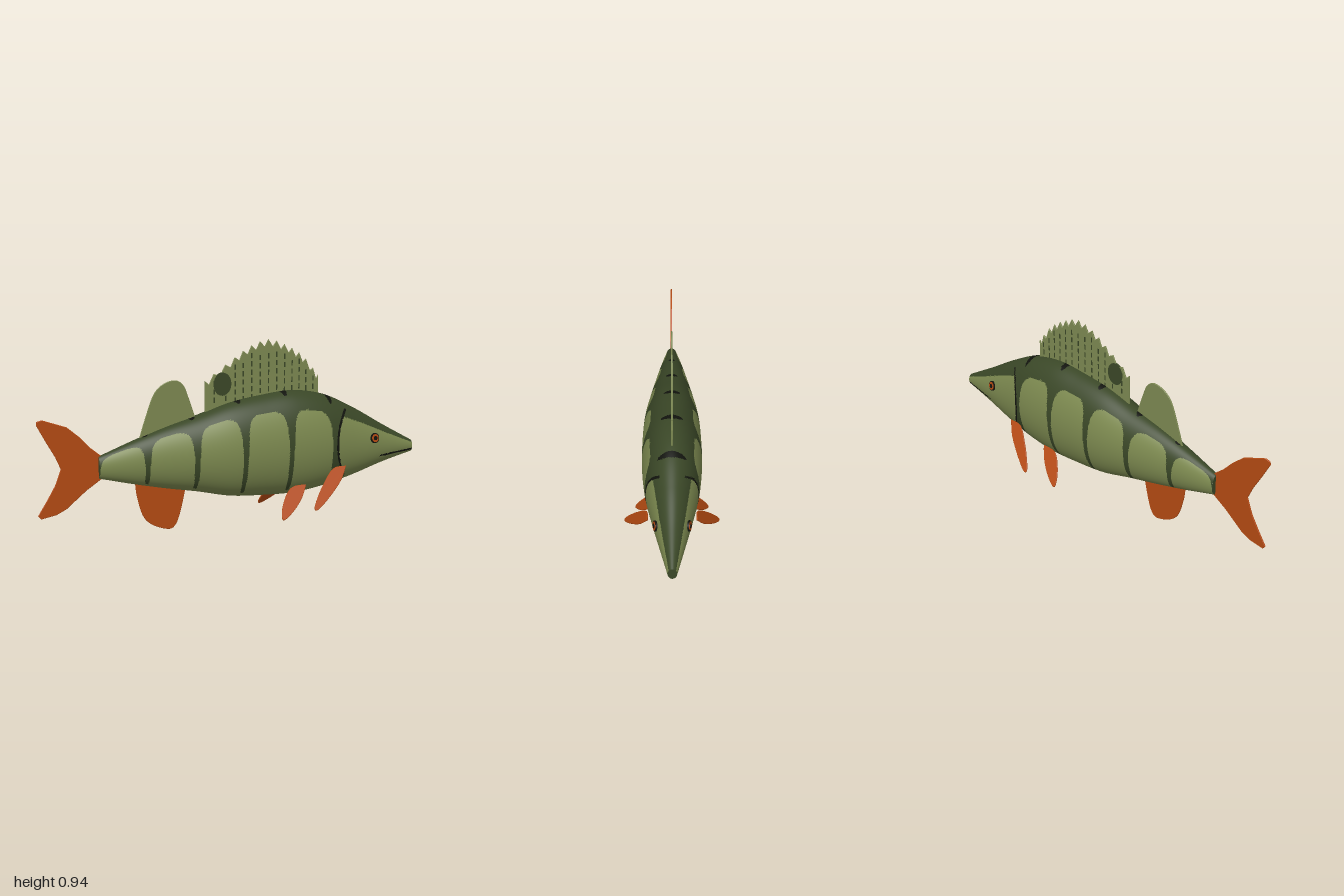
import * as THREE from 'three';

const mat = (name, color, side = THREE.FrontSide) => {
  const m = new THREE.MeshStandardMaterial({ color, side });
  m.name = name;
  return m;
};

export function createModel() {
  const fish = new THREE.Group();
  const flank = mat('flankGreen', 0x7d8a50);
  const back = mat('backGreen', 0x3a4727);
  const black = mat('black', 0x12140e);
  const orange = mat('finOrange', 0xb44a12);
  const membrane = mat('finOlive', 0x7c8851);

  const add = (name, geo, material, parent = fish) => {
    const m = new THREE.Mesh(geo, material);
    m.name = name;
    parent.add(m);
    return m;
  };

  // Body outline: evenly spaced stations from tail root to snout
  const X0 = -0.695, X1 = 0.995;
  const curve = ys => new THREE.SplineCurve(
    ys.map((y, i) => new THREE.Vector2(X0 + (X1 - X0) * i / (ys.length - 1), y)));
  const top = curve([0.40, 0.465, 0.525, 0.575, 0.63, 0.66, 0.675, 0.645, 0.565, 0.465, 0.37]);
  const bottom = curve([0.29, 0.25, 0.215, 0.185, 0.15, 0.14, 0.14, 0.165, 0.21, 0.265, 0.31]);
  const width = curve([0.03, 0.062, 0.09, 0.118, 0.14, 0.147, 0.147, 0.133, 0.10, 0.062, 0.022]);
  const section = t => {
    const a = top.getPoint(t), b = bottom.getPoint(t);
    return { x: a.x, yc: (a.y + b.y) / 2, h: (a.y - b.y) / 2, w: width.getPoint(t).y };
  };

  // Paint rule: s is height within the section (-1 belly, 1 back)
  // returns 0 flank, 1 back, 2 black
  const bands = [-0.46, -0.22, 0.02, 0.265, 0.505];
  const paint = (x, y, z, s) => {
    const gill = 0.525 + 0.09 * s * s;
    if (Math.abs(x - gill) < 0.006 && s > -0.8 && s < 0.85) return 2;
    if (x > 0.79 && Math.abs(y - 0.31 - 0.075 * (x - 0.79)) < 0.005) return 2;
    if (s > 0.5 && bands.some((b, i) => ((x - b) / 0.016) ** 2 + (z / (0.016 + 0.013 * i)) ** 2 < 1)) return 2;
    if (s < -0.88) return 0;
    if (x > gill) return s < 0.65 ? 0 : 1;
    // arched pale panels between the dark bands
    const peak = 0.73 - 0.13 * x;
    for (let i = 0; i < 5; i++) {
      const c = -0.583 + 0.243 * i;
      const half = 0.109 - 0.014 * Math.max(0, s + 0.1) + 0.01 * Math.max(0, -s - 0.5);
      const u = Math.abs(x - c) / half;
      const v = Math.max(0, (s - 0.1) / (peak - 0.1));
      if (u ** 4 + v ** 4 < 1) return 0;
    }
    return 1;
  };

  // Body skin, with one face group for each colour
  const NX = 380, NA = 120;
  const pos = [], rel = [], faces = [[], [], []];
  for (let i = 0; i <= NX; i++) {
    const c = section(i / NX);
    for (let j = 0; j < NA; j++) {
      const a = j / NA * Math.PI * 2;
      pos.push(c.x, c.yc + c.h * Math.sin(a), c.w * Math.cos(a));
      rel.push(Math.sin(a));
    }
  }
  const tri = (...v) => {
    const avg = k => (pos[v[0] * 3 + k] + pos[v[1] * 3 + k] + pos[v[2] * 3 + k]) / 3;
    const s = (rel[v[0]] + rel[v[1]] + rel[v[2]]) / 3;
    faces[paint(avg(0), avg(1), avg(2), s)].push(...v);
  };
  for (let i = 0; i < NX; i++) for (let j = 0; j < NA; j++) {
    const k = (j + 1) % NA;
    const p = i * NA + j, q = p + NA, r = (i + 1) * NA + k, t = i * NA + k;
    tri(p, q, r);
    tri(p, r, t);
  }
  const skin = new THREE.BufferGeometry();
  skin.setAttribute('position', new THREE.Float32BufferAttribute(pos, 3));
  skin.setIndex(faces.flat());
  let start = 0;
  faces.forEach((f, i) => { skin.addGroup(start, f.length, i); start += f.length; });
  skin.computeVertexNormals();
  add('body', skin, [flank, back, black]);

  // Flat ends of the body
  for (const [name, t, turn] of [['snoutTip', 1, 1], ['tailRoot', 0, -1]]) {
    const c = section(t);
    const cap = add(name, new THREE.CircleGeometry(1, 40), back);
    cap.scale.set(c.w, c.h, 1);
    cap.rotation.y = turn * Math.PI / 2;
    cap.position.set(c.x, c.yc, 0);
  }

  // Thin fin from an outline, centred on its own plane
  const fin = (pts, smooth, depth = 0.004) => {
    const v = pts.map(p => new THREE.Vector2(...p));
    const shape = new THREE.Shape(smooth ? new THREE.SplineCurve(v).getPoints(48) : v);
    const g = new THREE.ExtrudeGeometry(shape, {
      depth, bevelEnabled: true, bevelThickness: 0.002, bevelSize: 0.002, bevelSegments: 1 });
    return g.translate(0, 0, -depth / 2);
  };

  add('tailFin', fin([[-0.68, 0.40], [-0.735, 0.445], [-0.785, 0.50], [-0.85, 0.555], [-0.97, 0.597],
    [-0.993, 0.59], [-0.995, 0.575], [-0.95, 0.49], [-0.905, 0.41], [-0.88, 0.35], [-0.91, 0.27],
    [-0.95, 0.20], [-0.997, 0.125], [-0.985, 0.11], [-0.91, 0.125], [-0.86, 0.15], [-0.76, 0.235],
    [-0.68, 0.29]]), orange);
  add('softDorsalFin', fin([[-0.49, 0.46], [-0.455, 0.57], [-0.41, 0.69], [-0.36, 0.74], [-0.30, 0.755],
    [-0.26, 0.73], [-0.235, 0.67], [-0.195, 0.55]], true), membrane);
  add('analFin', fin([[-0.51, 0.26], [-0.50, 0.18], [-0.47, 0.08], [-0.42, 0.03], [-0.34, 0.004],
    [-0.305, 0.025], [-0.28, 0.09], [-0.25, 0.22]], true), orange);

  // Spiny dorsal fin: jagged crest over a smooth arch
  const crest = new THREE.SplineCurve([[-0.145, 0.73], [-0.02, 0.82], [0.085, 0.89], [0.19, 0.925],
    [0.29, 0.89], [0.38, 0.83], [0.46, 0.73]].map(p => new THREE.Vector2(...p)));
  const SPINES = 14, outline = [[-0.145, 0.56]];
  for (let i = 0; i <= SPINES; i++) {
    const p = crest.getPoint(i / SPINES);
    outline.push([p.x, p.y + 0.012]);
    if (i < SPINES) {
      const q = crest.getPoint((i + 0.55) / SPINES);
      outline.push([q.x, q.y - 0.022]);
    }
  }
  outline.push([0.46, 0.62]);
  const dorsal = new THREE.Group();
  dorsal.name = 'spinyDorsalFin';
  fish.add(dorsal);
  add('dorsalMembrane', fin(outline), membrane, dorsal);

  // Broken dark rays along the spines, showing on both faces
  for (let i = 1; i < SPINES; i++) {
    const p = crest.getPoint(i / SPINES);
    for (let y = 0.64 + 0.006 * (i % 3); y < p.y - 0.03; y += 0.042) {
      const ray = add('finRay', new THREE.BoxGeometry(0.007, 0.027, 0.0096), back, dorsal);
      ray.position.set(p.x, y, 0);
    }
  }
  const blotch = add('finBlotch', new THREE.CylinderGeometry(0.047, 0.047, 0.0096, 24), back, dorsal);
  blotch.rotation.x = Math.PI / 2;
  blotch.scale.z = 1.25;
  blotch.position.set(-0.055, 0.725, 0);

  // Paired fins and eyes
  const pectoral = [[0.01, 0.01], [-0.06, 0], [-0.13, -0.08], [-0.185, -0.165], [-0.20, -0.205],
    [-0.175, -0.20], [-0.10, -0.135], [-0.03, -0.06], [0.01, 0.01]];
  const pelvic = [[0.005, 0.005], [-0.06, 0], [-0.10, -0.03], [-0.14, -0.10], [-0.155, -0.16],
    [-0.14, -0.168], [-0.08, -0.12], [-0.03, -0.06], [0.005, 0.005]];
  for (const side of [1, -1]) {
    const label = side > 0 ? 'near' : 'far';
    const a = add(label + 'PectoralFin', fin(pectoral, true), orange);
    a.position.set(0.56, 0.275, 0.125 * side);
    a.rotation.x = -0.55 * side;
    const b = add(label + 'PelvicFin', fin(pelvic, true), orange);
    b.position.set(0.36, 0.19, 0.09 * side);
    b.rotation.x = -0.58 * side;

    const eye = new THREE.Group();
    eye.name = label + 'Eye';
    eye.position.set(0.75, 0.41, 0.077 * side);
    eye.quaternion.setFromUnitVectors(new THREE.Vector3(0, 1, 0),
      new THREE.Vector3(0.25, 0.15, side).normalize());
    fish.add(eye);
    [['eyeRim', 0.026, 0.014, black], ['iris', 0.021, 0.018, orange], ['pupil', 0.011, 0.022, black]]
      .forEach(([name, r, h, m]) => add(name, new THREE.CylinderGeometry(r, r, h, 24), m, eye));
  }
  return fish;
}
